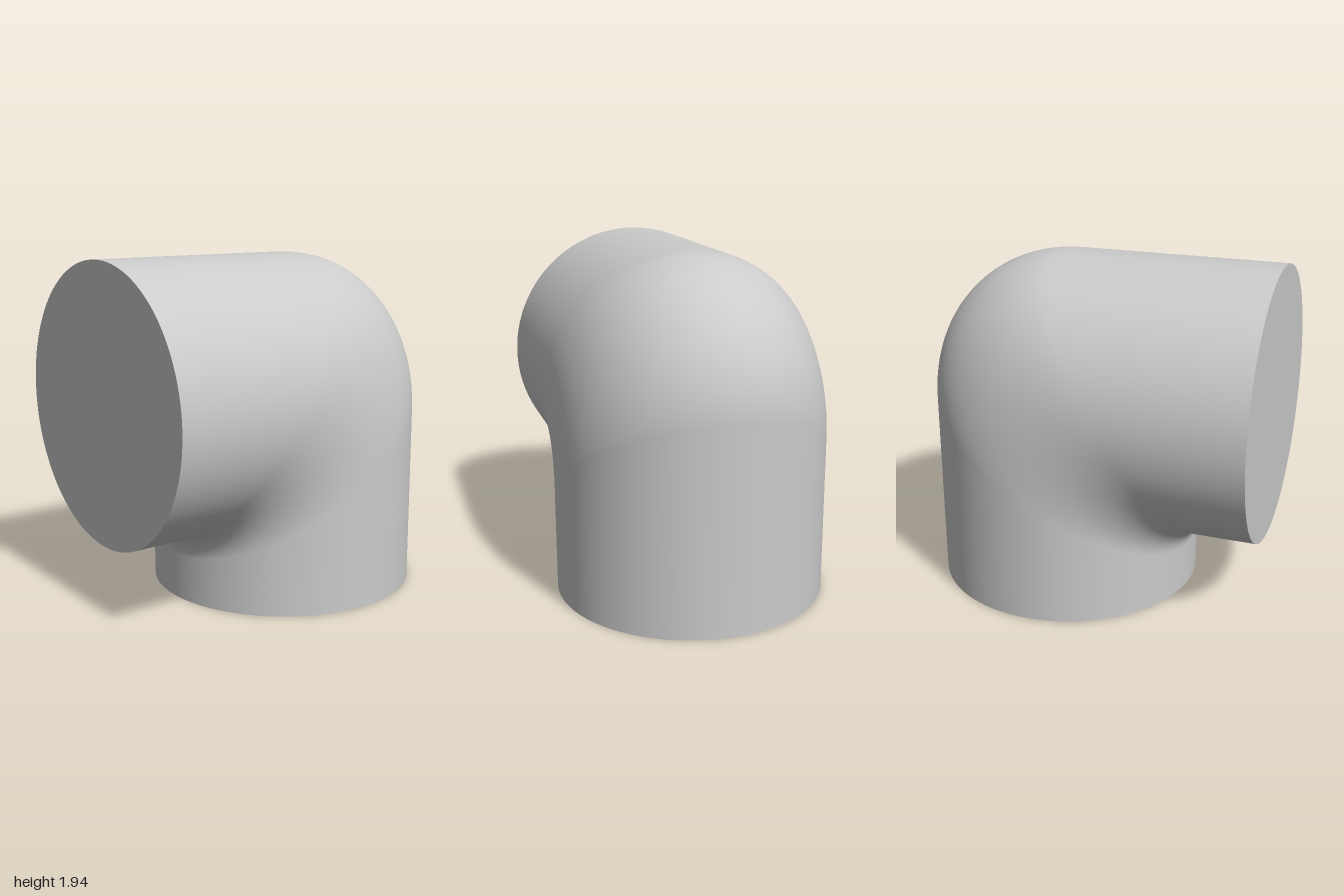
import * as THREE from 'three';

const R = 0.775;        // pipe radius
const CZ = -0.225;      // z of the upright axis
const CY = 1.165;       // y of the horizontal axis
const INNER = 0.13;     // bend radius on the inside of the corner
const SIDES = 96, STEPS = 32;

// Ring of the elbow: t runs 0..1 through the bend, the bend radius
// grows evenly from INNER on the inside to R on the outside.
function bendRing(t) {
  return (w) => {
    const d = (R + INNER) / 2 * (1 + w / R);
    const r = d - w;
    const a = t * Math.PI / 2;
    return [CY - d + r * Math.sin(a), CZ + d - r * Math.cos(a)];
  };
}

function elbowGeometry() {
  const rings = [(w) => [0, CZ + w]];
  for (let j = 0; j <= STEPS; j++) rings.push(bendRing(j / STEPS));
  rings.push((w) => [CY - w, 1]);

  const pos = [], index = [];
  rings.forEach((ring, j) => {
    for (let i = 0; i < SIDES; i++) {
      const a = i / SIDES * Math.PI * 2;
      const [y, z] = ring(R * Math.cos(a));
      pos.push(R * Math.sin(a), y, z);
      if (j === 0) continue;
      const k = (i + 1) % SIDES, lo = (j - 1) * SIDES, hi = j * SIDES;
      index.push(lo + i, lo + k, hi + k, lo + i, hi + k, hi + i);
    }
  });
  const geo = new THREE.BufferGeometry();
  geo.setAttribute('position', new THREE.Float32BufferAttribute(pos, 3));
  geo.setIndex(index);
  geo.computeVertexNormals();
  return geo;
}

export function createModel() {
  const group = new THREE.Group();
  group.name = 'pipeElbow';
  const material = new THREE.MeshStandardMaterial({ color: 0xcccccc });
  const add = (name, geo) => {
    const mesh = new THREE.Mesh(geo, material);
    mesh.name = name;
    group.add(mesh);
    return mesh;
  };

  // Smooth outer wall: upright pipe, bend and horizontal pipe
  add('elbowWall', elbowGeometry());

  // Flat closed ends
  const bottom = add('bottomEnd', new THREE.CircleGeometry(R, SIDES));
  bottom.rotation.x = Math.PI / 2;
  bottom.position.set(0, 0, CZ);
  add('frontEnd', new THREE.CircleGeometry(R, SIDES)).position.set(0, CY, 1);

  return group;
}
